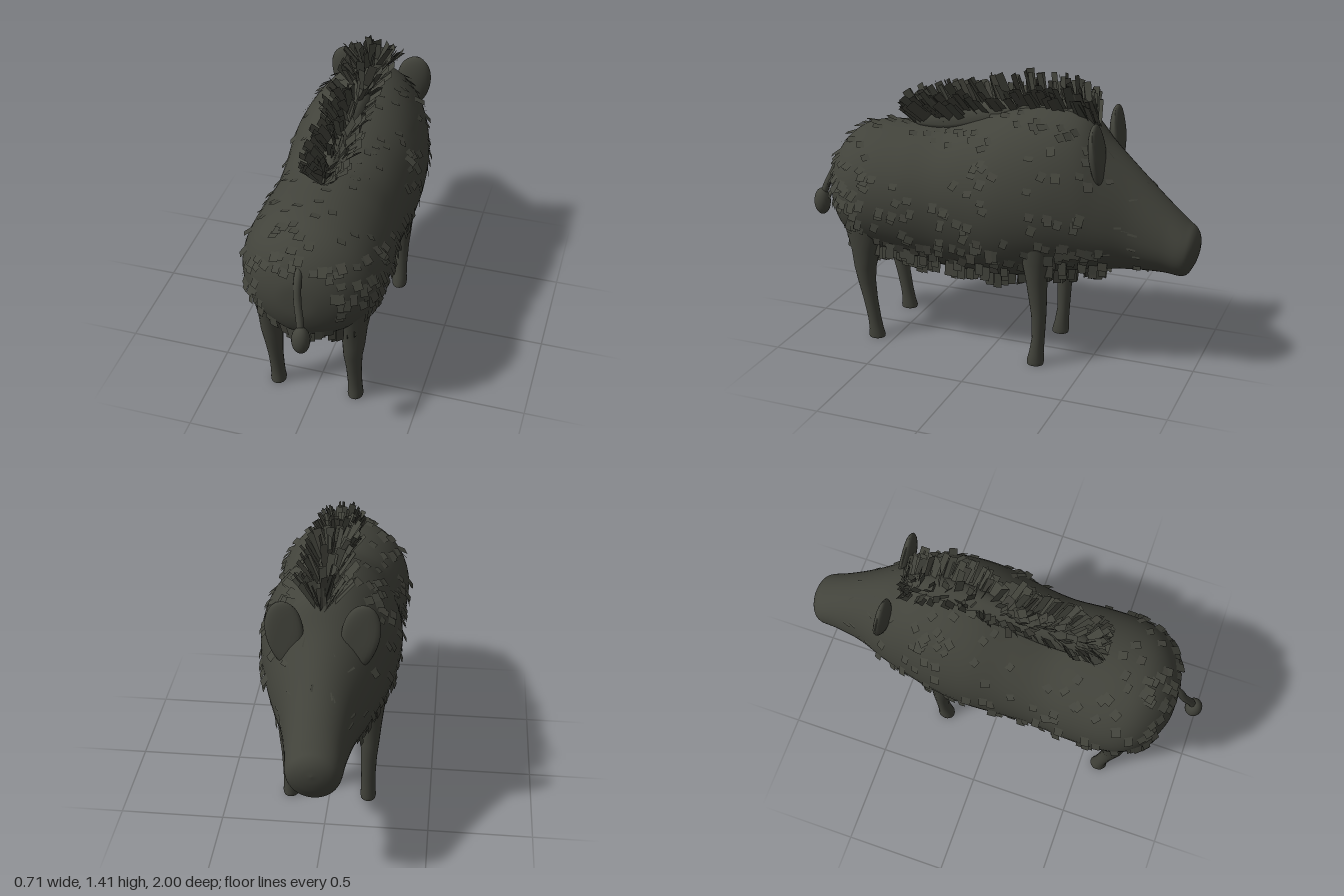
import * as THREE from 'three';
import { mergeGeometries } from 'three/addons/utils/BufferGeometryUtils.js';

const V = (x, y, z) => new THREE.Vector3(x, y, z);

// small seeded generator
function seeded(s) {
  return () => {
    s = (s * 16807) % 2147483647;
    return s / 2147483647;
  };
}

// closed loops of points joined into a smooth skin
function loft(rows, sides, at) {
  const pos = [], idx = [];
  for (let i = 0; i <= rows; i++) {
    for (let j = 0; j < sides; j++) {
      pos.push(...at(i, (j / sides) * Math.PI * 2).toArray());
      if (i === rows) continue;
      const k = (j + 1) % sides;
      const a = i * sides + j, b = i * sides + k, c = a + sides, d = b + sides;
      idx.push(a, c, b, b, c, d);
    }
  }
  const g = new THREE.BufferGeometry();
  g.setAttribute('position', new THREE.Float32BufferAttribute(pos, 3));
  g.setIndex(idx);
  g.computeVertexNormals();
  return g;
}

// surface through sections [z, top, bottom, widest height, half width]
function skin(sections) {
  const heights = new THREE.CatmullRomCurve3(sections.map(s => V(s[1], s[2], s[3])), false, 'catmullrom');
  const widths = new THREE.CatmullRomCurve3(sections.map(s => V(s[0], s[4], 0)), false, 'catmullrom');
  return (t, a) => {
    const h = heights.getPoint(t), w = widths.getPoint(t);
    const s = Math.sin(a);
    return V(Math.max(w.y, 0) * Math.cos(a), h.z + (s > 0 ? h.x - h.z : h.z - h.y) * s, w.x);
  };
}

const bodySkin = skin([
  [0.87, 0.76, 0.76, 0.76, 0],
  [0.86, 0.87, 0.65, 0.76, 0.10],
  [0.81, 0.98, 0.54, 0.76, 0.21],
  [0.72, 1.06, 0.47, 0.76, 0.295],
  [0.60, 1.09, 0.44, 0.76, 0.33],
  [0.42, 1.10, 0.41, 0.76, 0.33],
  [0.25, 1.11, 0.385, 0.77, 0.315],
  [0.08, 1.17, 0.375, 0.79, 0.32],
  [-0.10, 1.24, 0.385, 0.82, 0.335],
  [-0.28, 1.265, 0.43, 0.83, 0.32],
  [-0.44, 1.235, 0.465, 0.81, 0.28],
  [-0.56, 1.11, 0.485, 0.76, 0.235],
  [-0.70, 0.98, 0.50, 0.71, 0.175],
  [-0.84, 0.85, 0.505, 0.66, 0.14],
  [-0.935, 0.765, 0.50, 0.63, 0.125],
  [-0.972, 0.735, 0.545, 0.64, 0.10],
  [-0.992, 0.70, 0.60, 0.65, 0.055],
  [-1.0, 0.655, 0.655, 0.655, 0],
]);

const crestSkin = skin([
  [0.45, 1.11, 1.11, 1.11, 0],
  [0.40, 1.16, 1.08, 1.11, 0.045],
  [0.25, 1.21, 1.08, 1.12, 0.06],
  [0.05, 1.25, 1.12, 1.17, 0.065],
  [-0.20, 1.285, 1.18, 1.23, 0.065],
  [-0.42, 1.265, 1.16, 1.21, 0.06],
  [-0.52, 1.15, 1.15, 1.15, 0],
]);

// outward direction of a skin
function outward(surface, t, a) {
  const e = 0.004;
  const u = surface(t + e, a).sub(surface(t - e, a));
  const v = surface(t, a + e).sub(surface(t, a - e));
  return u.cross(v).normalize();
}

// one flat hair blade, rooted at p, growing along dir, facing n
function blade(p, dir, n, width, length) {
  const y = dir.clone().normalize();
  const x = y.clone().cross(n).normalize();
  const z = x.clone().cross(y);
  return new THREE.PlaneGeometry(width, length)
    .translate(0, length / 2, 0)
    .applyMatrix4(new THREE.Matrix4().makeBasis(x, y, z).setPosition(p));
}

function coatGeometry() {
  const rnd = seeded(411), blades = [];
  const add = (t, a, length) => {
    const n = outward(bodySkin, t, a);
    const flow = V((rnd() - 0.5) * 0.3, -1, 0.15 + (rnd() - 0.5) * 0.5);
    if (n.y > 0.6) flow.z += 1;
    flow.addScaledVector(n, -flow.dot(n)).normalize();
    if (n.y < -0.6) flow.multiplyScalar(0.25).add(V(0, -1, 0));
    flow.addScaledVector(n, 0.22 + rnd() * 0.2);
    const p = bodySkin(t, a).addScaledVector(n, -0.008);
    blades.push(blade(p, flow, n, 0.034 + rnd() * 0.012, length));
  };
  // flanks and rump
  for (let i = 0; i < 420; i++) add(0.1 + rnd() * 0.56, rnd() * Math.PI * 2, 0.05 + rnd() * 0.025);
  // belly fringe
  for (let i = 0; i < 150; i++) add(0.18 + rnd() * 0.46, Math.PI * (1.12 + rnd() * 0.76), 0.06 + rnd() * 0.03);
  // sparse hair on cheeks
  for (let i = 0; i < 24; i++) add(0.66 + rnd() * 0.08, rnd() * Math.PI * 2, 0.03);
  return mergeGeometries(blades);
}

function maneGeometry() {
  const rnd = seeded(97), blades = [];
  for (let i = 0; i < 230; i++) {
    const t = 0.04 + 0.9 * (i / 229);
    const a = Math.PI * (0.5 + (rnd() - 0.5) * 0.85);
    const p = crestSkin(t, a);
    const back = THREE.MathUtils.clamp((p.z + 0.5) * 0.75, 0.1, 0.85);
    const dir = V(Math.cos(a) * 0.9 + (rnd() - 0.5) * 0.2, 1, back + (rnd() - 0.5) * 0.2);
    const n = V(Math.cos(a) * 1.2 + (rnd() - 0.5), 0.2, (rnd() - 0.3) * 0.9);
    p.addScaledVector(dir, -0.02);
    blades.push(blade(p, dir, n, 0.028 + rnd() * 0.014, 0.1 + rnd() * 0.06));
  }
  return mergeGeometries(blades);
}

// leg from rows [y, x, z, radius across, radius along]
function legGeometry(rows) {
  return loft(rows.length - 1, 20, (i, a) => {
    const [y, x, z, rx, rz] = rows[i];
    return V(x + rx * Math.cos(a), y, z - rz * Math.sin(a));
  });
}

const HIND = [
  [0.72, 0.20, 0.63, 0.09, 0.13], [0.58, 0.20, 0.635, 0.08, 0.105], [0.48, 0.20, 0.64, 0.062, 0.075],
  [0.38, 0.20, 0.645, 0.053, 0.056], [0.30, 0.195, 0.642, 0.045, 0.044], [0.20, 0.195, 0.625, 0.037, 0.035],
  [0.10, 0.195, 0.607, 0.035, 0.032], [0.04, 0.195, 0.598, 0.036, 0.036], [0.012, 0.195, 0.595, 0.038, 0.043],
  [0, 0.195, 0.595, 0.036, 0.041], [0, 0.195, 0.595, 0.036, 0.041], [0, 0.195, 0.595, 0, 0],
];
const FORE = [
  [0.66, 0.20, -0.26, 0.08, 0.09], [0.54, 0.20, -0.262, 0.065, 0.068], [0.45, 0.20, -0.265, 0.054, 0.052],
  [0.34, 0.198, -0.273, 0.045, 0.043], [0.26, 0.195, -0.277, 0.039, 0.036], [0.14, 0.193, -0.275, 0.035, 0.031],
  [0.06, 0.193, -0.266, 0.036, 0.036], [0.02, 0.193, -0.262, 0.039, 0.043],
  [0, 0.193, -0.26, 0.036, 0.041], [0, 0.193, -0.26, 0.036, 0.041], [0, 0.193, -0.26, 0, 0],
];

// rounded leaf, narrow at the root and hollowed toward the face
function earGeometry() {
  const g = new THREE.SphereGeometry(1, 24, 18), p = g.attributes.position;
  for (let i = 0; i < p.count; i++) {
    const x = p.getX(i), y = p.getY(i), z = p.getZ(i);
    const cup = z < 0 ? 0.022 * (1 - x * x) * (1 - y * y) : 0;
    p.setXYZ(i, x * 0.085 * (1 + 0.12 * y), y * 0.155, z * 0.04 + cup);
  }
  g.computeVertexNormals();
  return g;
}

export function createModel() {
  const model = new THREE.Group();
  model.name = 'boar';
  const hide = new THREE.MeshStandardMaterial({ color: 0x42433b, side: THREE.DoubleSide });
  hide.name = 'dark hide';
  const add = (name, geometry) => {
    const m = new THREE.Mesh(geometry, hide);
    m.name = name;
    model.add(m);
    return m;
  };

  add('body', loft(100, 48, (i, a) => bodySkin(i / 100, a)));
  add('crest', loft(40, 20, (i, a) => crestSkin(i / 40, a)));
  add('coat', coatGeometry());
  add('mane', maneGeometry());

  // paired limbs and ears
  for (const [side, s] of [['left', 1], ['right', -1]]) {
    add(side + 'HindLeg', legGeometry(HIND)).scale.x = s;
    add(side + 'FrontLeg', legGeometry(FORE)).scale.x = s;
    const ear = add(side + 'Ear', earGeometry());
    ear.position.set(s * 0.167, 1.085, -0.545);
    ear.rotation.set(0.1, 0, -s * 0.13);
  }

  // tail with rounded tuft
  const path = new THREE.CatmullRomCurve3([
    V(0, 0.94, 0.79), V(0.01, 0.89, 0.86), V(0.02, 0.8, 0.9), V(0.04, 0.72, 0.935), V(0.05, 0.66, 0.955),
  ]);
  add('tail', new THREE.TubeGeometry(path, 24, 0.018, 10));
  const tuft = add('tailTuft', new THREE.SphereGeometry(1, 20, 16));
  tuft.scale.set(0.042, 0.07, 0.042);
  tuft.position.set(0.05, 0.635, 0.958);
  return model;
}
